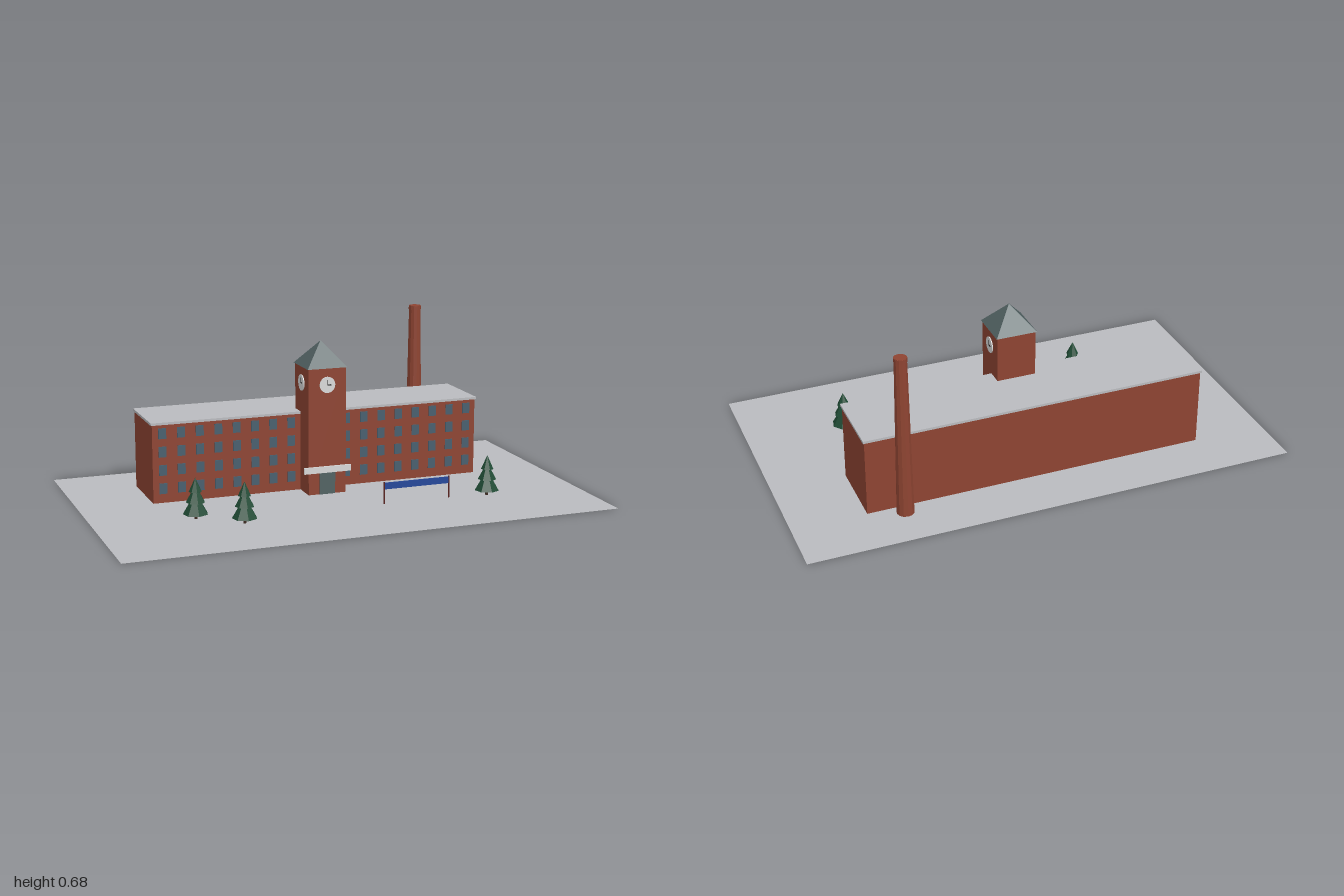
import * as THREE from 'three';

const mat = (name, color, extra = {}) => Object.assign(new THREE.MeshStandardMaterial({ color, ...extra }), { name });

export function createModel() {
  const model = new THREE.Group();
  model.name = 'mill';
  const brick = mat('brick', 0x8e4432, { flatShading: true });
  const concrete = mat('concrete', 0xbabbbf, { side: THREE.DoubleSide });
  const slate = mat('slate', 0x526263, { flatShading: true });
  const glass = mat('glass', 0x485f6e);
  const white = mat('white', 0xd9d9d9);
  const black = mat('black', 0x1c1c1c);
  const green = mat('pine green', 0x1f4a34, { flatShading: true });
  const bark = mat('bark', 0x3f2c22);
  const blue = mat('banner blue', 0x24479a);
  const postRed = mat('post red', 0x5e2420);

  const add = (name, geometry, material, x, y, z, parent = model) => {
    const mesh = new THREE.Mesh(geometry, material);
    mesh.name = name;
    mesh.position.set(x, y, z);
    parent.add(mesh);
    return mesh;
  };
  const box = (name, w, h, d, material, x, y, z, parent) =>
    add(name, new THREE.BoxGeometry(w, h, d), material, x, y, z, parent);

  // Ground sheet
  add('ground', new THREE.PlaneGeometry(2, 1.2).rotateX(-Math.PI / 2), concrete, 0, 0, 0);

  // Long factory block with an overhanging roof slab
  box('factoryWalls', 1.4, 0.319, 0.28, brick, 0, 0.1605, -0.24);
  box('factoryRoof', 1.41, 0.01, 0.29, concrete, 0, 0.325, -0.24);

  // Four rows of windows on each wing
  const windows = new THREE.Group();
  windows.name = 'windows';
  model.add(windows);
  for (const side of [-1, 1])
    for (let col = 0; col < 8; col++)
      for (let row = 0; row < 4; row++)
        box('window', 0.032, 0.043, 0.006, glass, side * (0.12 + col * 0.077), 0.06 + row * 0.075, -0.099, windows);

  // Clock tower with pyramid roof
  box('tower', 0.16, 0.519, 0.16, brick, 0, 0.2605, -0.08);
  add('towerRoof', new THREE.ConeGeometry(0.085 * Math.SQRT2, 0.1, 4).rotateY(Math.PI / 4), slate, 0, 0.57, -0.08);

  // Clocks on the front and both sides
  for (const turn of [-1, 0, 1]) {
    const clock = new THREE.Group();
    clock.name = 'clock';
    clock.position.set(turn * 0.08, 0.453, turn ? -0.08 : 0);
    clock.rotation.y = turn * Math.PI / 2;
    add('clockFace', new THREE.CylinderGeometry(0.033, 0.033, 0.004, 24).rotateX(Math.PI / 2), white, 0, 0, 0.002, clock);
    box('hourHand', 0.016, 0.004, 0.002, black, 0.007, 0, 0.005, clock);
    box('minuteHand', 0.002, 0.022, 0.002, black, 0, 0.01, 0.005, clock);
    model.add(clock);
  }

  // Entrance
  box('door', 0.066, 0.088, 0.006, slate, 0, 0.045, 0.001);
  box('entranceBoard', 0.2, 0.026, 0.008, white, 0, 0.104, 0.004);

  // Tapered chimney
  add('chimney', new THREE.CylinderGeometry(0.025, 0.035, 0.679, 12), brick, 0.56, 0.3405, -0.42);
  add('chimneyCollar', new THREE.CylinderGeometry(0.0265, 0.0265, 0.016, 12), brick, 0.56, 0.671, -0.42);

  // Banner on two posts
  box('banner', 0.28, 0.027, 0.004, blue, 0.3, 0.074, 0.22);
  for (const x of [0.16, 0.44])
    add('bannerPost', new THREE.CylinderGeometry(0.003, 0.003, 0.09, 6), postRed, x, 0.046, 0.22);

  // Three-tiered pines
  for (const [x, z] of [[-0.6, 0.16], [-0.44, 0.28], [0.6, 0.24]]) {
    const tree = new THREE.Group();
    tree.name = 'pine';
    tree.position.set(x, 0, z);
    add('trunk', new THREE.CylinderGeometry(0.006, 0.006, 0.03, 6), bark, 0, 0.016, 0, tree);
    [[0.05, 0.022, 0.085], [0.038, 0.068, 0.07], [0.026, 0.11, 0.056]].forEach(([r, y, h]) =>
      add('foliage', new THREE.ConeGeometry(r, h, 7), green, 0, y + h / 2, 0, tree));
    model.add(tree);
  }
  return model;
}
